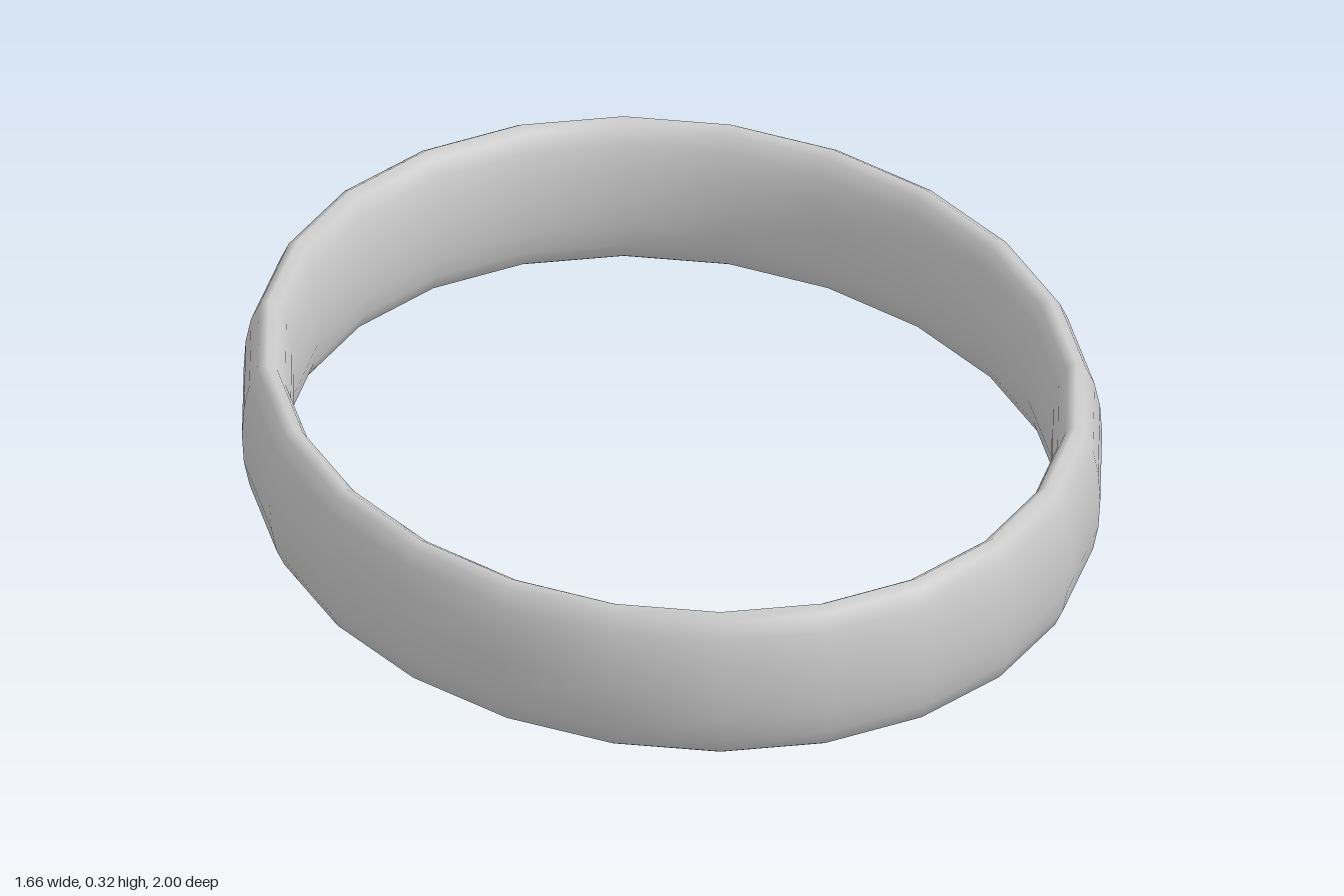
import * as THREE from 'three';
import { mergeVertices } from 'three/addons/utils/BufferGeometryUtils.js';

const CENTRE_X = 0.78, CENTRE_Z = 0.95; // half axes of the oval centre line
const HALF_THICK = 0.05, HALF_HEIGHT = 0.16;

// Oval band: a torus whose tube is a tall ellipse and whose path is an oval
function bandGeometry(sides, segments) {
  let geo = new THREE.TorusGeometry(1, HALF_THICK, sides, segments);
  geo.rotateX(-Math.PI / 2);
  const p = geo.attributes.position;
  for (let i = 0; i < p.count; i++) {
    const x = p.getX(i), z = p.getZ(i);
    const r = Math.hypot(x, z), off = r - 1;
    p.setXYZ(
      i,
      (x / r) * (CENTRE_X + off),
      HALF_HEIGHT + p.getY(i) * (HALF_HEIGHT / HALF_THICK),
      (z / r) * (CENTRE_Z + off)
    );
  }
  // Weld the seams so the normals run smoothly all round
  geo.deleteAttribute('uv');
  geo.deleteAttribute('normal');
  geo = mergeVertices(geo, 1e-4);
  geo.computeVertexNormals();
  return geo;
}

export function createModel() {
  const group = new THREE.Group();
  group.name = 'ovalRing';
  const material = new THREE.MeshStandardMaterial({ color: 0xcccccc });
  const band = new THREE.Mesh(bandGeometry(16, 24), material);
  band.name = 'band';
  group.add(band);
  return group;
}
